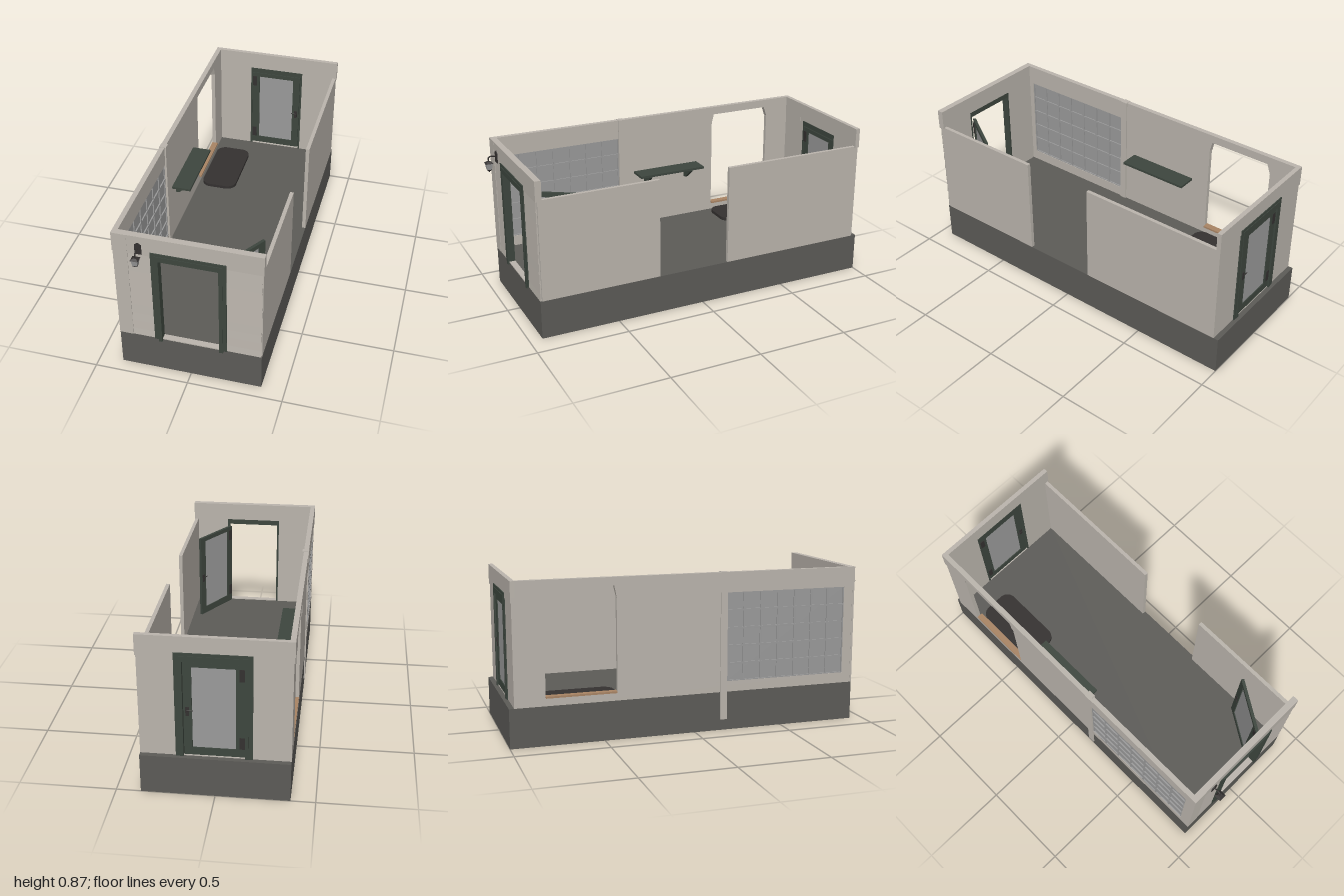
import * as THREE from 'three';

const mat = (color) => new THREE.MeshStandardMaterial({ color, side: THREE.DoubleSide });
const WALL = mat(0xbab4ac), BASE = mat(0x5c5b57), GREEN = mat(0x3d463e);
const IRON = mat(0x343130), GLASS = mat(0x9a9a9a), WOOD = mat(0xa88464);

function add(parent, name, geometry, material) {
  const mesh = new THREE.Mesh(geometry, material);
  mesh.name = name;
  parent.add(mesh);
  return mesh;
}

// Box given by its limits on each axis
function box(parent, name, material, x0, x1, y0, y1, z0, z1) {
  const m = add(parent, name, new THREE.BoxGeometry(x1 - x0, y1 - y0, z1 - z0), material);
  m.position.set((x0 + x1) / 2, (y0 + y1) / 2, (z0 + z1) / 2);
  return m;
}

const poly = (pts) => new THREE.Shape(pts.map(([x, y]) => new THREE.Vector2(x, y)));
const rect = (a, b, c, d) => poly([[a, c], [b, c], [b, d], [a, d]]);
const slab = (shape, depth, holes = []) => {
  shape.holes.push(...holes);
  return new THREE.ExtrudeGeometry(shape, { depth, bevelEnabled: false, curveSegments: 6 });
};

// Door leaf with its hinge edge at local x = 0, extending along +x
function doorLeaf(name) {
  const g = new THREE.Group();
  g.name = name;
  add(g, 'leafFrame', slab(rect(0, 0.3, 0, 0.51), 0.016, [rect(0.044, 0.258, 0.042, 0.485)]), GREEN)
    .position.z = -0.008;
  box(g, 'doorGlass', GLASS, 0.044, 0.258, 0.042, 0.485, -0.003, 0.003);
  box(g, 'lockPlate', IRON, 0.272, 0.29, 0.22, 0.268, -0.011, 0.011);
  for (const s of [-1, 1]) {
    const knob = add(g, 'handle', new THREE.CylinderGeometry(0.003, 0.003, 0.03, 8), IRON);
    knob.rotation.z = Math.PI / 2;
    knob.position.set(0.268, 0.25, s * 0.014);
  }
  for (const y of [0.045, 0.42]) box(g, 'hinge', IRON, 0, 0.027, y, y + 0.065, -0.009, 0.012);
  return g;
}

// Door surround: casing, jambs and head; "out" is the outward z direction
function doorFrame(name, z, thick, out) {
  const g = new THREE.Group();
  g.name = name;
  const arch = (w, top, inner, innerTop, foot) => poly([
    [-w, foot], [-inner, foot], [-inner, innerTop], [inner, innerTop],
    [inner, foot], [w, foot], [w, top], [-w, top]]);
  add(g, 'casing', slab(arch(0.19, 0.78, 0.155, 0.75, 0.212), 0.006), GREEN)
    .position.z = out > 0 ? 0 : -0.006;
  add(g, 'jamb', slab(arch(0.17, 0.765, 0.151, 0.735, 0.2), 0.009), GREEN)
    .position.z = out > 0 ? 0 : -0.009;
  add(g, 'lining', slab(arch(0.162, 0.765, 0.151, 0.735, 0.211), thick), GREEN)
    .position.z = out > 0 ? -thick : 0;
  box(g, 'threshold', WALL, -0.151, 0.151, 0.21, 0.216, out > 0 ? -thick : 0, out > 0 ? 0 : thick);
  g.position.set(0.005, 0, z);
  return g;
}

function lantern() {
  const g = new THREE.Group();
  g.name = 'wallLantern';
  const plate = poly([[-0.017, 0.765], [0.017, 0.765], [0.017, 0.82], [0, 0.832], [-0.017, 0.82]]);
  add(g, 'backPlate', slab(plate, 0.005), IRON).position.z = 0.934;
  const path = new THREE.CatmullRomCurve3([[0.936, 0.8], [0.965, 0.804], [0.98, 0.798], [0.98, 0.778]]
    .map(([z, y]) => new THREE.Vector3(0, y, z)));
  add(g, 'arm', new THREE.TubeGeometry(path, 12, 0.0035, 6), IRON);
  // Square four-sided parts stacked from top to bottom
  const tier = (name, top, bottom, y0, y1, m) => {
    const geo = new THREE.CylinderGeometry(top, bottom, y1 - y0, 4).toNonIndexed();
    geo.computeVertexNormals();
    const t = add(g, name, geo, m);
    t.rotation.y = Math.PI / 4;
    t.position.set(0, (y0 + y1) / 2, 0.98);
  };
  tier('cap', 0.012, 0.029, 0.767, 0.777, IRON);
  tier('lampGlass', 0.025, 0.017, 0.733, 0.767, GLASS);
  tier('lampBase', 0.019, 0.012, 0.726, 0.733, IRON);
  tier('finial', 0.005, 0.003, 0.719, 0.726, IRON);
  g.position.x = -0.243;
  return g;
}

export function createModel() {
  const root = new THREE.Group();
  root.name = 'cabin';
  box(root, 'basePlinth', BASE, -0.375, 0.375, 0, 0.212, -1, 0.93);

  // End walls with doorways
  const doorway = () => rect(-0.157, 0.167, 0.212, 0.765);
  add(root, 'frontWall', slab(rect(-0.375, 0.365, 0.212, 0.865), 0.028, [doorway()]), WALL).position.z = 0.897;
  add(root, 'backWall', slab(rect(-0.375, 0.375, 0.212, 0.865), 0.018, [doorway()]), WALL).position.z = -0.973;
  add(root, 'frontBand', slab(rect(-0.38, 0.38, 0.782, 0.865), 0.034), WALL).position.z = 0.897;
  for (const [a, b] of [[-0.38, -0.185], [0.195, 0.38]])
    box(root, 'frontBandEnd', WALL, a, b, 0.755, 0.782, 0.897, 0.931);
  box(root, 'backBand', WALL, -0.38, 0.38, 0.782, 0.865, -0.977, -0.953);
  for (const [a, b] of [[-0.38, -0.185], [0.195, 0.38]])
    box(root, 'backBandEnd', WALL, a, b, 0.755, 0.782, -0.977, -0.953);
  box(root, 'cornerBoard', WALL, -0.376, -0.302, 0.212, 0.865, 0.92, 0.932);

  // Overlapping siding boards beside the front door
  const rows = [0.212, 0.255, 0.31, 0.363, 0.42, 0.475, 0.53, 0.585, 0.64, 0.697, 0.755];
  for (const [x0, x1] of [[-0.302, -0.185], [0.195, 0.372]])
    for (let i = 0; i < rows.length - 1; i++) {
      const profile = poly([[0, rows[i] + 0.002], [0.006, rows[i] + 0.002], [0.002, rows[i + 1]], [0, rows[i + 1]]]);
      const board = add(root, 'sidingBoard', slab(profile, x1 - x0).rotateY(-Math.PI / 2), WALL);
      board.position.set(x1, 0, 0.925);
    }

  // Low side wall in two stretches with a gap between
  box(root, 'rightWallFront', WALL, 0.355, 0.375, 0.212, 0.762, 0.258, 0.92);
  box(root, 'rightWallBack', WALL, 0.355, 0.375, 0.212, 0.762, -0.97, -0.15);

  // Tall side wall with a large opening and a lattice window; shape x runs along z
  const side = (name, shape, depth, xOuter, holes) => {
    add(root, name, slab(shape, depth, holes).rotateY(-Math.PI / 2), WALL).position.x = xOuter + depth;
  };
  const opening = poly([[-0.81, 0.26], [-0.43, 0.26], [-0.43, 0.765], [-0.443, 0.82], [-0.79, 0.82], [-0.81, 0.765]]);
  side('leftWall', rect(-0.973, 0.925, 0.212, 0.865), 0.022, -0.375, [opening, rect(0.18, 0.87, 0.27, 0.755)]);
  side('leftBand', poly([[-0.975, 0.757], [-0.812, 0.757], [-0.79, 0.82], [-0.443, 0.82], [-0.43, 0.757],
    [0.93, 0.757], [0.93, 0.865], [-0.975, 0.865]]), 0.005, -0.38);
  box(root, 'wallPost', WALL, -0.382, -0.345, 0.212, 0.867, 0.142, 0.18);
  box(root, 'postFoot', WALL, -0.382, -0.374, 0.06, 0.212, 0.142, 0.18);
  box(root, 'windowSill', WOOD, -0.376, -0.34, 0.252, 0.262, -0.81, -0.43);

  // Lattice window
  box(root, 'windowPane', GLASS, -0.367, -0.363, 0.27, 0.755, 0.18, 0.87);
  for (let i = 0; i <= 7; i++) {
    const z = 0.18 + (0.69 * i) / 7;
    box(root, 'latticeUpright', GLASS, -0.373, -0.357, 0.27, 0.755, z - 0.005, z + 0.005);
  }
  for (let i = 0; i <= 5; i++) {
    const y = 0.27 + 0.097 * i;
    box(root, 'latticeRail', GLASS, -0.374, -0.356, y - 0.005, y + 0.005, 0.18, 0.87);
  }

  // Doors: back closed, front swung inwards
  root.add(doorFrame('frontDoorFrame', 0.93, 0.033, 1), doorFrame('backDoorFrame', -0.974, 0.02, -1));
  const backDoor = doorLeaf('backDoor');
  backDoor.position.set(-0.147, 0.22, -0.966);
  const frontDoor = doorLeaf('frontDoor');
  frontDoor.position.set(0.148, 0.216, 0.885);
  frontDoor.rotation.y = 1.01;
  root.add(backDoor, frontDoor);

  // Wall shelf on brackets
  box(root, 'shelf', GREEN, -0.353, -0.247, 0.528, 0.541, -0.325, 0.085);
  for (const z of [0.012, -0.25]) {
    const bracket = poly([[0, 0.46], [0.018, 0.46], [0.085, 0.515], [0.085, 0.528], [0, 0.528]]);
    add(root, 'shelfBracket', slab(bracket, 0.016), GREEN).position.set(-0.353, 0, z - 0.008);
  }

  // Rounded floor mat
  const mw = 0.104, ml = 0.208, r = 0.055;
  const mat2 = new THREE.Shape();
  mat2.absarc(mw - r, ml - r, r, 0, Math.PI / 2);
  mat2.absarc(r - mw, ml - r, r, Math.PI / 2, Math.PI);
  mat2.absarc(r - mw, r - ml, r, Math.PI, Math.PI * 1.5);
  mat2.absarc(mw - r, r - ml, r, Math.PI * 1.5, Math.PI * 2);
  const mat3 = add(root, 'floorMat', slab(mat2, 0.018).rotateX(-Math.PI / 2), IRON);
  mat3.position.set(-0.23, 0.212, -0.614);

  root.add(lantern());
  return root;
}
